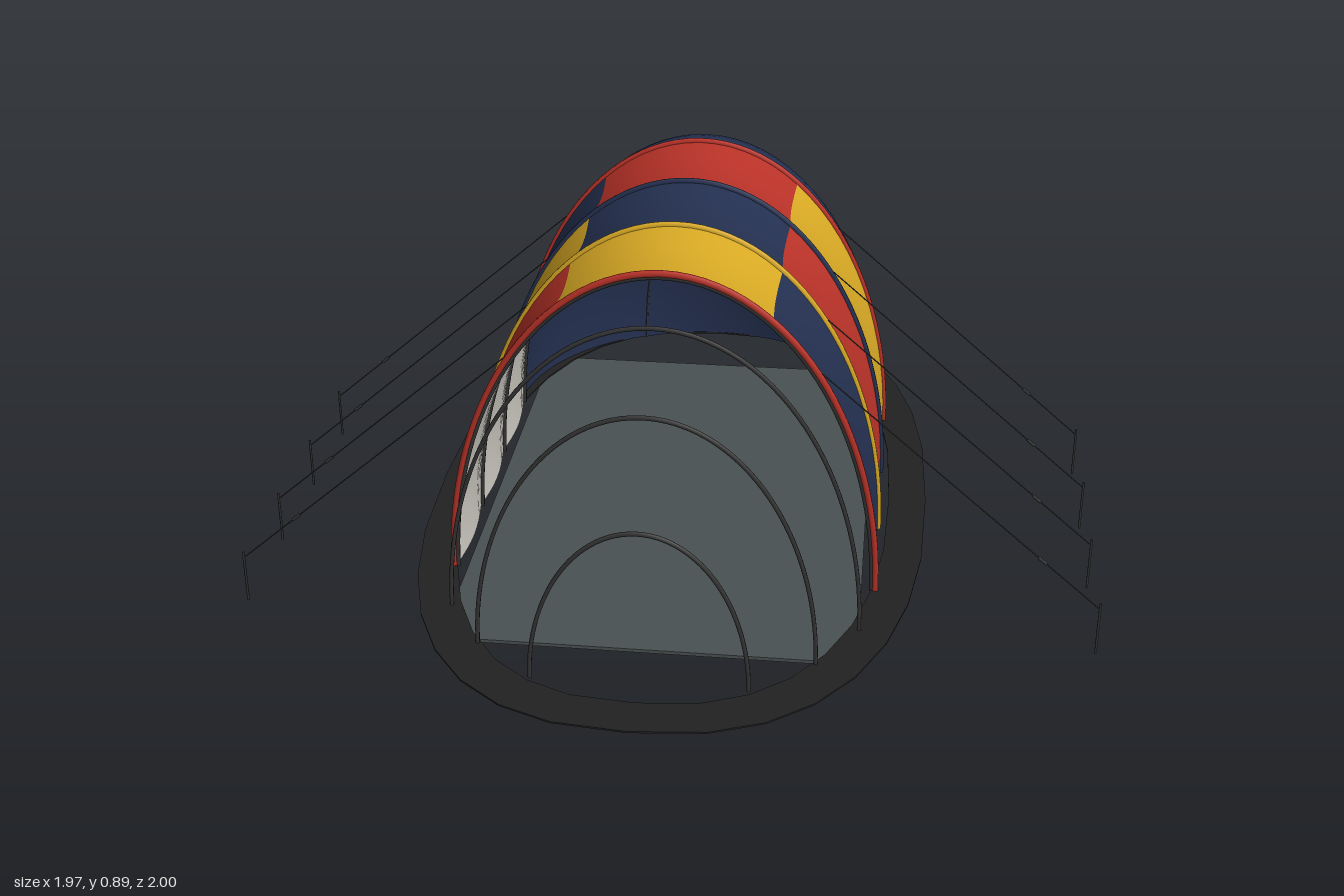
import * as THREE from 'three';
import { ParametricGeometry } from 'three/addons/geometries/ParametricGeometry.js';

const BASE = 0.13, HALF_W = 0.48, HEIGHT = 0.75, DOME_LEN = 0.485;
const RIBS = [0.415, 0.14, -0.135, -0.415];

function material(name, color, side = THREE.FrontSide) {
  const m = new THREE.MeshStandardMaterial({ color, side });
  m.name = name;
  return m;
}

export function createModel() {
  const red = material('red fabric', 0xb93228);
  const yellow = material('yellow fabric', 0xd8a924);
  const navy = material('navy fabric', 0x243050, THREE.DoubleSide);
  const liner = material('pale liner', 0xd8d5cc);
  const floorGrey = material('floor grey', 0x4a5152);
  const black = material('skirt black', 0x222222);
  const dark = material('pole grey', 0x333433);
  const white = material('lantern white', 0xe6e6e6);

  const model = new THREE.Group();
  model.name = 'tunnelTent';

  function add(name, geometry, mat, x = 0, y = 0, z = 0) {
    const mesh = new THREE.Mesh(geometry, mat);
    mesh.name = name;
    mesh.position.set(x, y, z);
    model.add(mesh);
    return mesh;
  }

  // Tube through a list of points
  function tube(name, points, radius, mat, segments = 64) {
    const curve = new THREE.CatmullRomCurve3(points);
    return add(name, new THREE.TubeGeometry(curve, segments, radius, 6), mat);
  }

  // Half-elliptical hoop standing on the ground sheet
  function hoop(name, z, halfWidth, height, radius, mat) {
    const points = [];
    for (let i = 0; i <= 32; i++) {
      const a = Math.PI * i / 32;
      points.push(new THREE.Vector3(halfWidth * Math.cos(a), BASE + height * Math.sin(a), z));
    }
    return tube(name, points, radius, mat);
  }

  // Straight thin rod between two points
  function rod(name, from, to, radius, mat) {
    return add(name, new THREE.TubeGeometry(new THREE.LineCurve3(from, to), 1, radius, 6), mat);
  }

  // Tunnel cloth between two ribs, sagging slightly in the middle
  function cloth(name, a0, a1, zFrom, zTo, inset, mat, slices) {
    const geometry = new ParametricGeometry((u, v, target) => {
      const a = a0 + (a1 - a0) * u;
      const sag = 0.012 * Math.sin(Math.PI * v) + inset;
      target.set((HALF_W - sag) * Math.cos(a), BASE + (HEIGHT - sag) * Math.sin(a), zFrom + (zTo - zFrom) * v);
    }, slices, 8);
    return add(name, geometry, mat);
  }

  // Three bays of three panels each: left side, roof, right side
  const bays = [[navy, yellow, red], [red, navy, yellow], [yellow, red, navy]];
  const panelNames = ['leftPanel', 'roofPanel', 'rightPanel'];
  bays.forEach((colours, b) => {
    const front = RIBS[b], back = RIBS[b + 1];
    colours.forEach((mat, p) =>
      cloth(panelNames[p], Math.PI * p / 3, Math.PI * (p + 1) / 3, back, front, 0, mat, 14));
    cloth('innerLiner', 0, Math.PI, front, back, 0.005, liner, 42);
  });

  // Pole sleeves, poles, guy lines, tensioners and stakes
  const sleeveColours = [red, yellow, navy, red];
  RIBS.forEach((z, i) => {
    hoop('poleSleeve', z, HALF_W, HEIGHT, 0.008, sleeveColours[i]);
    hoop('tunnelPole', z, HALF_W - 0.008, HEIGHT - 0.008, 0.006, dark);
    for (const s of [-1, 1]) {
      const top = new THREE.Vector3(s * 0.345, 0.665, z);
      const peg = new THREE.Vector3(s * 0.98, 0.115, z);
      rod('guyLine', top, peg, 0.0015, dark);
      const mid = top.clone().lerp(peg, 0.77), end = top.clone().lerp(peg, 0.8);
      rod('lineTensioner', mid, end, 0.004, dark);
      add('stake', new THREE.CylinderGeometry(0.003, 0.003, 0.13, 6), dark, s * 0.98, 0.065, z);
    }
  });

  // Rounded rear dome
  const domeZ = RIBS[3];
  add('rearDome', new ParametricGeometry((u, v, target) => {
    const a = Math.PI * u, w = (Math.PI / 2 - 0.002) * (1 - v);
    target.set(HALF_W * Math.cos(a) * Math.cos(w), BASE + HEIGHT * Math.sin(a) * Math.cos(w),
      domeZ - DOME_LEN * Math.sin(w));
  }, 40, 24), navy);

  // Arched door seam lying on the dome
  const seam = [];
  for (let i = 0; i <= 32; i++) {
    const a = Math.PI * i / 32;
    const x = 0.2 * Math.cos(a), h = 0.545 * Math.sin(a);
    const depth = Math.sqrt(1 - (x / HALF_W) ** 2 - (h / HEIGHT) ** 2);
    seam.push(new THREE.Vector3(x, BASE + h, domeZ - DOME_LEN * depth));
  }
  tube('rearDoorSeam', seam, 0.003, dark);

  // Bare porch hoops at the front
  for (const [z, w, h] of [[0.58, 0.45, 0.7], [0.72, 0.363, 0.567], [0.83, 0.23, 0.362]]) {
    hoop('porchHoop', z, w, h, 0.005, dark);
  }

  // Flat oval ground skirt
  function oval(path, a, b) {
    const points = [];
    for (let i = 0; i < 32; i++) {
      const t = Math.PI * 2 * i / 32, c = Math.cos(t), s = Math.sin(t);
      points.push(new THREE.Vector2(a * Math.sign(c) * Math.abs(c) ** 0.8, b * Math.sign(s) * Math.abs(s) ** 0.8));
    }
    return path.setFromPoints(points);
  }
  const ring = oval(new THREE.Shape(), 0.592, 0.998);
  ring.holes.push(oval(new THREE.Path(), 0.503, 0.9));
  const skirt = new THREE.ExtrudeGeometry(ring, { depth: 0.004, bevelEnabled: false });
  skirt.rotateX(-Math.PI / 2);
  add('groundSkirt', skirt, black, 0, BASE - 0.002, 0);

  // Floor sheet
  add('floorSheet', new THREE.BoxGeometry(0.9, 0.008, 1.4), floorGrey, 0, 0.122, 0);

  // Hanging lantern
  add('lantern', new THREE.CylinderGeometry(0.024, 0.024, 0.065, 20), white, 0, 0.747, 0);
  rod('lanternCord', new THREE.Vector3(0, 0.78, 0), new THREE.Vector3(0, 0.868, 0), 0.0015, dark);

  return model;
}
